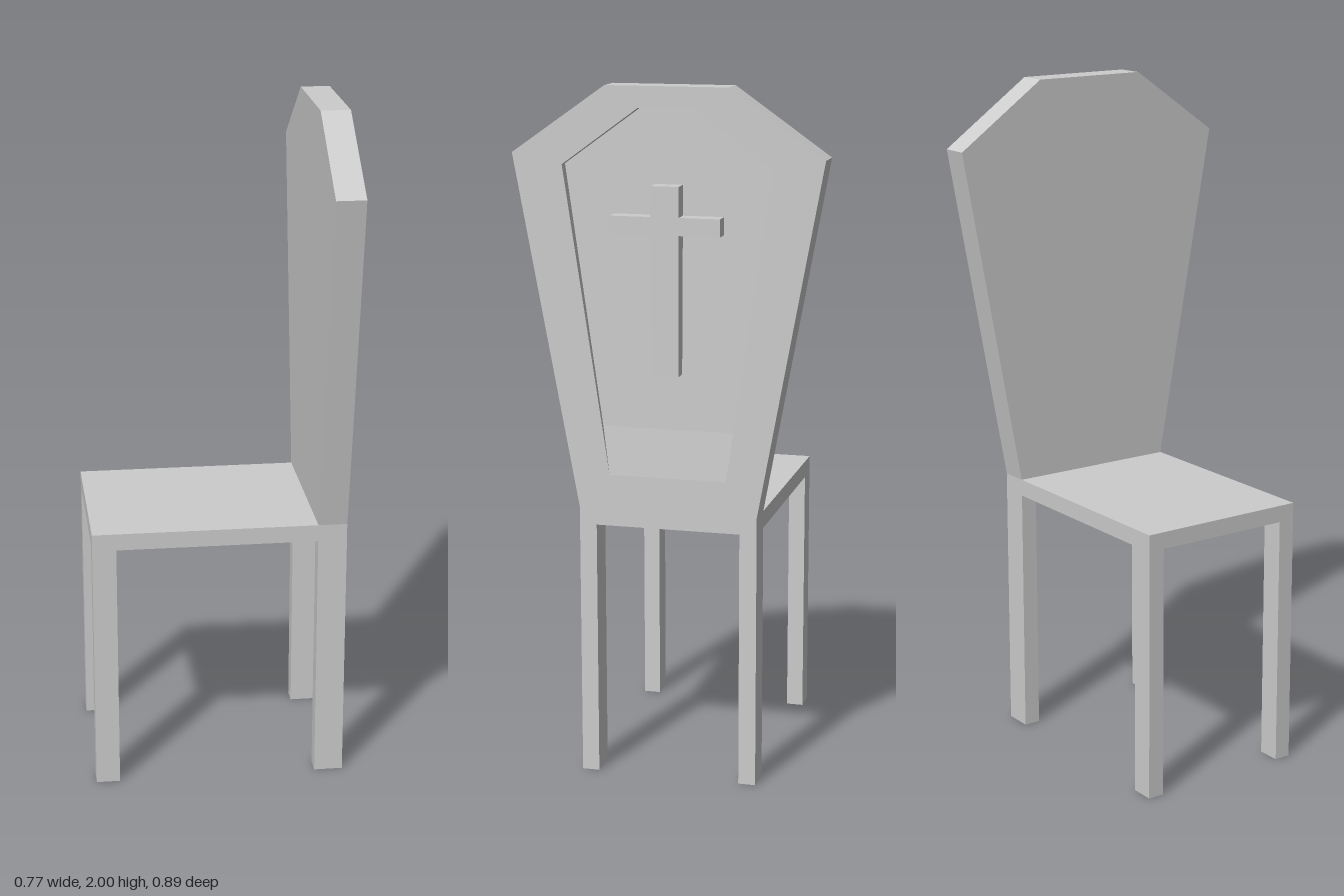
import * as THREE from 'three';

const BACK_X = 0.275, FACE_X = 0.36, SLAB_X = 0.32;

// Symmetric outline in (z, y) from half-profile points listed bottom to top
function outline(half, Type) {
  const pts = half.map(([w, y]) => new THREE.Vector2(w, y));
  const mirrored = half.map(([w, y]) => new THREE.Vector2(-w, y)).reverse();
  return new Type([...pts, ...mirrored]);
}

export function createModel() {
  const group = new THREE.Group();
  const grey = new THREE.MeshStandardMaterial({ color: 0xcccccc, flatShading: true });
  grey.name = 'grey';

  const add = (name, geometry) => {
    const mesh = new THREE.Mesh(geometry, grey);
    mesh.name = name;
    group.add(mesh);
  };
  const box = (name, x0, x1, y0, y1, z0, z1) => add(name,
    new THREE.BoxGeometry(x1 - x0, y1 - y0, z1 - z0)
      .translate((x0 + x1) / 2, (y0 + y1) / 2, (z0 + z1) / 2));
  // Extrude a (z, y) shape along x
  const extrudeX = (name, shape, x0, x1) => add(name,
    new THREE.ExtrudeGeometry(shape, { depth: x1 - x0, bevelEnabled: false })
      .rotateY(Math.PI / 2).translate(x0, 0, 0));

  // Seat and four legs
  box('seat', -0.385, FACE_X, 0.75, 0.8, -0.26, 0.26);
  for (const s of [-1, 1]) {
    const z0 = s > 0 ? 0.21 : -0.26, z1 = z0 + 0.05;
    box('frontLeg', -0.385, -0.315, 0, 0.75, z0, z1);
    box('backLeg', BACK_X, FACE_X, 0, 0.75, z0, z1);
  }

  // Backrest: solid slab plus a rim around the recess
  const panel = [[0.26, 0.8], [0.445, 1.81], [0.175, 2]];
  const recess = [[0.17, 0.9], [0.3, 1.78], [0.08, 1.94]];
  extrudeX('backrestSlab', outline(panel, THREE.Shape), BACK_X, SLAB_X);
  const rim = outline(panel, THREE.Shape);
  rim.holes.push(outline(recess, THREE.Path));
  extrudeX('backrestRim', rim, SLAB_X, FACE_X);

  // Recess floor: ramps in at the bottom, deepest at the top [y, half width, depth]
  const rows = [[0.9, 0.17, 0], [1.04, 0.191, 0.012], [1.78, 0.3, 0.03], [1.94, 0.08, 0.034]];
  const pos = [], index = [];
  rows.forEach(([y, w, d], i) => {
    pos.push(FACE_X - d, y, w, FACE_X - d, y, -w);
    if (i) {
      const a = 2 * i - 2;
      index.push(a, a + 1, a + 3, a, a + 3, a + 2);
    }
  });
  const floor = new THREE.BufferGeometry();
  floor.setAttribute('position', new THREE.Float32BufferAttribute(pos, 3));
  floor.setIndex(index);
  const flatFloor = floor.toNonIndexed();
  flatFloor.computeVertexNormals();
  add('recessFloor', flatFloor);

  // Raised cross
  const cross = [[0.04, 1.2], [0.04, 1.595], [0.157, 1.595], [0.157, 1.645], [0.04, 1.645], [0.04, 1.73]];
  extrudeX('cross', outline(cross, THREE.Shape), 0.325, 0.382);

  return group;
}
